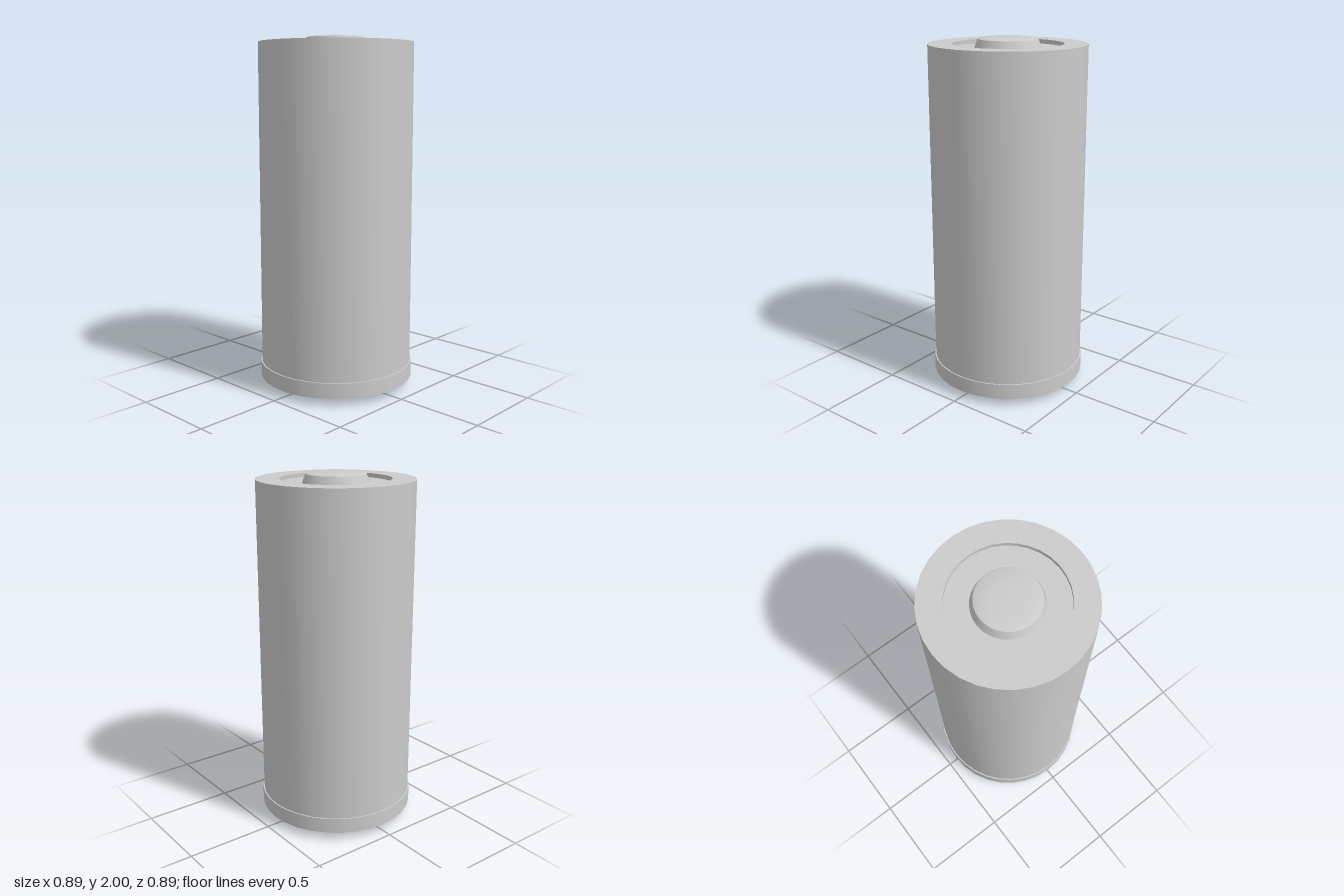
import * as THREE from 'three';
import { toCreasedNormals } from 'three/addons/utils/BufferGeometryUtils.js';

const material = new THREE.MeshStandardMaterial({ color: 0xcccccc });

// Turned part: profile of [radius, height] pairs, outside surface running upward
function turned(name, profile) {
  const points = profile.map(([r, y]) => new THREE.Vector2(r, y));
  const geometry = toCreasedNormals(new THREE.LatheGeometry(points, 32), Math.PI / 6);
  const mesh = new THREE.Mesh(geometry, material);
  mesh.name = name;
  return mesh;
}

export function createModel() {
  const group = new THREE.Group();
  group.name = 'battery';

  group.add(
    // Tall cylinder with a shallow round recess in its top
    turned('casing', [
      [0.437, 0.12], [0.437, 1.965], [0.307, 1.965], [0.307, 1.941], [0, 1.941],
    ]),
    // Slightly wider band at the foot, hollowed underneath
    turned('baseRim', [
      [0, 0.066], [0.407, 0.066], [0.407, 0.042], [0.444, 0.042], [0.444, 0.13], [0.436, 0.13],
    ]),
    // Tapered button with a faintly domed top
    turned('positiveTerminal', [
      [0.184, 1.941], [0.166, 1.99], [0.15, 1.996], [0.08, 1.999], [0, 2],
    ]),
    // Flat tapered contact the model stands on
    turned('negativeTerminal', [
      [0, 0], [0.292, 0], [0.339, 0.066],
    ]),
  );
  return group;
}
